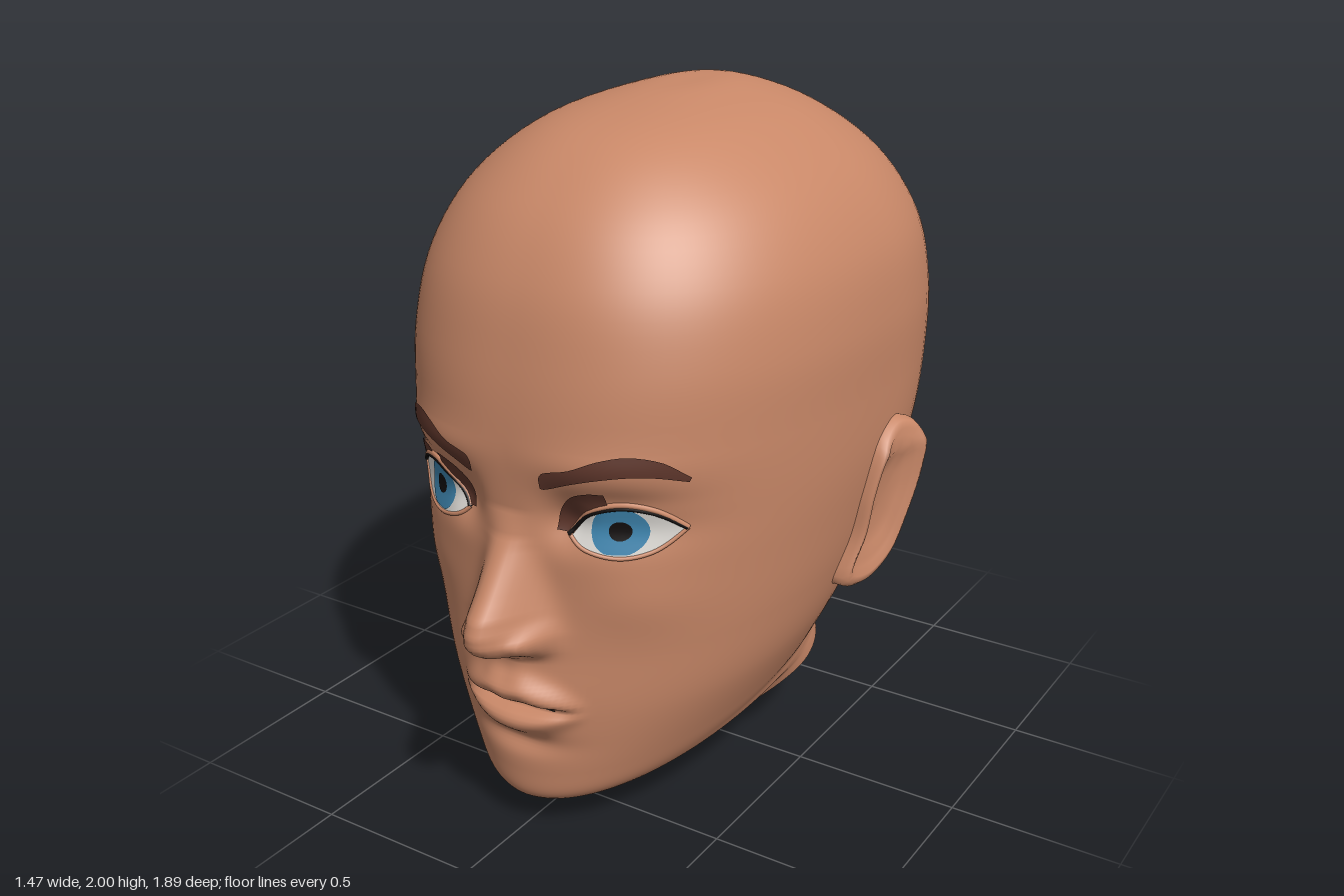
import * as THREE from 'three';

const mat = (name, color, side = THREE.DoubleSide) => {
  const m = new THREE.MeshStandardMaterial({ color, side });
  m.name = name;
  return m;
};

// Smooth grid surface; fn(row, col) returns [x, y, z]
function grid(rows, cols, fn, closed, flip) {
  const pos = [], idx = [], n = closed ? cols : cols + 1;
  for (let j = 0; j <= rows; j++) for (let i = 0; i < n; i++) pos.push(...fn(j, i));
  for (let j = 0; j < rows; j++) for (let i = 0; i < cols; i++) {
    const a = j * n + i, b = j * n + (i + 1) % n, c = a + n, d = b + n;
    if (flip) idx.push(a, b, c, b, d, c);
    else idx.push(a, c, b, b, c, d);
  }
  const g = new THREE.BufferGeometry();
  g.setAttribute('position', new THREE.Float32BufferAttribute(pos, 3));
  g.setIndex(idx);
  g.computeVertexNormals();
  return g;
}

const bump = (d, s) => Math.exp(-((d / s) ** 2));
const clamp = THREE.MathUtils.clamp;

// Head sections: front y, front z, back y, back z, half width, z of widest point, squareness, upward bow
const SECTIONS = [
  [2.0, -0.15, 2.0, -0.15, 0, -0.15, 2.2, 0],
  [1.985, 0.07, 1.997, -0.34, 0.13, -0.15, 2.2, 0],
  [1.92, 0.37, 1.92, -0.56, 0.33, -0.15, 2.3, 0],
  [1.78, 0.57, 1.78, -0.76, 0.51, -0.17, 2.35, 0],
  [1.6, 0.69, 1.6, -0.88, 0.62, -0.2, 2.4, 0],
  [1.4, 0.745, 1.4, -0.942, 0.658, -0.2, 2.45, 0],
  [1.2, 0.77, 1.2, -0.942, 0.658, -0.2, 2.42, 0],
  [1.0, 0.765, 1.02, -0.9, 0.65, -0.17, 2.35, 0],
  [0.8, 0.75, 0.88, -0.83, 0.625, -0.12, 2.3, 0],
  [0.6, 0.75, 0.74, -0.75, 0.59, -0.06, 2.22, 0],
  [0.4, 0.755, 0.6, -0.645, 0.54, -0.01, 2.12, 0],
  [0.2, 0.755, 0.47, -0.595, 0.465, -0.03, 2.0, 0],
  [0.1, 0.73, 0.42, -0.58, 0.43, -0.07, 1.95, 0.01],
  [0.063, 0.62, 0.39, -0.575, 0.42, -0.1, 1.93, 0.02],
  [0.072, 0.47, 0.36, -0.57, 0.415, -0.13, 1.9, 0.03],
  [0.07, 0.3, 0.33, -0.565, 0.412, -0.16, 1.87, 0.05],
  [0, 0.17, 0.28, -0.56, 0.41, -0.19, 1.85, 0.092],
];

// Nose height above the face at each y
const NOSE = [[1, 0], [0.93, 0.025], [0.87, 0.07], [0.78, 0.138], [0.73, 0.178], [0.69, 0.192], [0.655, 0.188],
  [0.625, 0.158], [0.605, 0.115], [0.59, 0.065], [0.57, 0.03], [0.53, 0.012], [0.5, 0]];

function noseHeight(y) {
  for (let i = 1; i < NOSE.length; i++) {
    const [y0, h0] = NOSE[i - 1], [y1, h1] = NOSE[i];
    if (y <= y0 && y >= y1) return h0 + (h1 - h0) * (y0 - y) / (y0 - y1);
  }
  return 0;
}

// Forward relief of the face
function relief(x, y) {
  const a = Math.abs(x);
  const noseWidth = 0.098 - 0.15 * clamp(y - 0.66, 0, 0.24);
  const lip = Math.max(0, 1 - (a / 0.21) ** 2);
  const upperY = 0.42 + 0.058 * lip + 0.008 * bump(a - 0.05, 0.035);
  let d = noseHeight(y) * Math.exp(-((a / noseWidth) ** 2.4));
  d += 0.045 * bump(a - 0.1, 0.03) * bump(y - 0.65, 0.038);                    // nostril wings
  d -= 0.03 * bump(a - 0.05, 0.022) * bump(y - 0.6, 0.012);                    // nostrils
  d -= 0.035 * bump(a - 0.16, 0.06) * bump(y - 0.99, 0.07);                    // inner eye corners
  d -= 0.035 * bump(a - 0.31, 0.16) * bump(y - 0.985, 0.07);                   // eye socket
  d -= 0.012 * bump(a - 0.3, 0.14) * bump(y - 1.06, 0.035);                    // lid crease
  d += 0.012 * bump(a - 0.28, 0.18) * bump(y - 1.15, 0.05);                    // brow
  d += 0.015 * bump(a - 0.36, 0.12) * bump(y - 0.76, 0.1);                     // cheek
  d += 0.02 * bump(a, 0.2) * bump(y - 0.45, 0.13);                             // muzzle
  d += 0.052 * lip * bump(y - upperY, 0.022 + 0.024 * lip);                    // upper lip
  d += 0.036 * lip * bump(y - 0.42 + 0.05 * lip, 0.02 + 0.022 * lip);          // lower lip
  d -= 0.05 * lip * bump(y - 0.42, 0.014);                                     // lip seam
  d -= 0.025 * bump(a, 0.12) * bump(y - 0.3, 0.035);                           // chin groove
  return d;
}

function headGeometry() {
  // Interpolated sections, denser through the face
  const rings = [], last = SECTIONS.length - 1;
  for (let k = 0; k < last; k++) {
    const steps = k >= 6 && k <= 11 ? 20 : 6;
    const key = [-1, 0, 1, 2].map((o) => SECTIONS[clamp(k + o, 0, last)]);
    for (let q = 0; q < steps; q++) {
      const t = q / steps;
      rings.push(key[1].map((b, c) => {
        const a = key[0][c], e = key[2][c], f = key[3][c];
        return b + 0.5 * t * (e - a + t * (2 * a - 5 * b + 4 * e - f + t * (3 * (b - e) + f - a)));
      }));
    }
  }
  rings.push(SECTIONS[last]);
  const cols = 132;
  return grid(rings.length - 1, cols, (j, i) => {
    const [fy, fz, by, bz, w, zc, square, bow] = rings[j];
    const u = (i / cols) * 2 * Math.PI - Math.PI;
    const th = u - 0.55 * Math.sin(u);
    const s = Math.sin(th), c = Math.cos(th);
    const p = c > 0 ? square : Math.min(square, 2.15);
    const r = (Math.abs(s) ** p + Math.abs(c) ** p) ** (-1 / p);
    const x = w * s * r;
    const z = zc + (c > 0 ? fz - zc : zc - bz) * c * r;
    const f = clamp((fz - z) / Math.max(fz - bz, 0.001), 0, 1);
    const y = fy + (by - fy) * f + bow * Math.sin(Math.PI * f ** 0.7);
    return [x, y, c > 0 ? z + relief(x, y) : z];
  }, true, false);
}

// Ear: outline in (z, y), and a bowl profile of (scale, height)
const EAR_OUTLINE = [[-0.02, 0.61], [-0.1, 0.59], [-0.19, 0.65], [-0.245, 0.78], [-0.28, 0.93],
  [-0.275, 1.06], [-0.21, 1.085], [-0.12, 1.03], [-0.075, 0.89], [-0.06, 0.75]];
const EAR_PROFILE = [[0, -0.005], [0.35, -0.005], [0.55, 0.003], [0.68, 0.016], [0.78, 0.018],
  [0.87, 0.032], [0.95, 0.03], [1, 0.015], [1, -0.01], [1.01, -0.05], [1.07, -0.13]];

function earGeometry(side) {
  const cols = 48;
  const edge = new THREE.CatmullRomCurve3(EAR_OUTLINE.map(([z, y]) => new THREE.Vector3(0, y, z)), true);
  return grid(EAR_PROFILE.length - 1, cols, (j, i) => {
    const [k, h] = EAR_PROFILE[j], e = edge.getPoint(i / cols);
    const z = -0.16 + (e.z + 0.16) * k, y = 0.84 + (e.y - 0.84) * k;
    const x = 0.625 + 0.1 * (y - 0.85) + 0.3 * (-0.06 - z) - 0.6 * Math.max(0, y - 1) + h;
    return [side * x, y, z];
  }, true, side < 0);
}

const spline = (pts) => {
  const c = new THREE.SplineCurve(pts.map(([x, y]) => new THREE.Vector2(x, y)));
  return (t) => c.getPoint(t);
};
// Half circle, flattened where the lids cover it
const arc = (cx, cy, r, dir) => (t) => new THREE.Vector2(cx - r * Math.cos(Math.PI * t),
  clamp(cy + dir * r * Math.sin(Math.PI * t), 0.91, 1.034));

export function createModel() {
  const model = new THREE.Group();
  const skin = mat('skin', 0xc98868);
  const brown = mat('brow brown', 0x5e362b);
  const white = mat('eye white', 0xdedbd6);
  const blue = mat('iris blue', 0x3f86b0);
  const black = mat('pupil black', 0x120e0e);
  const add = (name, geometry, material) => {
    const mesh = new THREE.Mesh(geometry, material);
    mesh.name = name;
    model.add(mesh);
    return mesh;
  };

  const head = add('head', headGeometry(), skin);
  head.updateMatrixWorld(true);

  // Depth of the face at (x, y)
  const ray = new THREE.Raycaster();
  const faceZ = (x, y) => {
    ray.set(new THREE.Vector3(x, y, 3), new THREE.Vector3(0, 0, -1));
    const hit = ray.intersectObject(head)[0];
    return hit ? hit.point.z : 0.6;
  };
  // Thin painted plate between two curves, laid on the face
  const plate = (name, upper, lower, material, lift, side, nx = 20, ny = 7) =>
    add(name, grid(ny, nx, (j, i) => {
      const p = lower(i / nx).lerp(upper(i / nx), j / ny);
      return [side * p.x, p.y, faceZ(side * p.x, p.y) + lift];
    }, false, side > 0), material);
  // Thin cord following a curve on the face
  const cord = (name, curve, radius, dy, lift, material, side) => {
    const pts = [];
    for (let i = 0; i <= 12; i++) {
      const p = curve(i / 12), x = side * p.x, y = p.y + dy * Math.sin(Math.PI * i / 12);
      pts.push(new THREE.Vector3(x, y, faceZ(x, y) + lift));
    }
    add(name, new THREE.TubeGeometry(new THREE.CatmullRomCurve3(pts), 28, radius, 8), material);
  };

  const upperLid = spline([[0.165, 0.95], [0.22, 1.012], [0.3, 1.038], [0.38, 1.024], [0.44, 0.98]]);
  const lowerLid = spline([[0.165, 0.95], [0.21, 0.922], [0.3, 0.905], [0.38, 0.925], [0.44, 0.98]]);
  const browTop = spline([[0.112, 1.115], [0.13, 1.135], [0.2, 1.153], [0.27, 1.183], [0.34, 1.196], [0.41, 1.178], [0.46, 1.13]]);
  const browBottom = spline([[0.112, 1.085], [0.13, 1.085], [0.2, 1.112], [0.27, 1.132], [0.34, 1.142], [0.4, 1.137], [0.455, 1.118]]);
  const shadeTop = spline([[0.135, 0.96], [0.145, 1.015], [0.185, 1.065], [0.235, 1.085], [0.275, 1.085]]);
  const shadeBottom = spline([[0.165, 0.955], [0.185, 0.99], [0.215, 1.02], [0.245, 1.038], [0.275, 1.052]]);
  const outerTop = spline([[0.33, 1.085], [0.38, 1.08], [0.42, 1.06], [0.457, 1.01]]);
  const outerBottom = spline([[0.33, 1.06], [0.37, 1.04], [0.41, 1.015], [0.443, 0.985]]);

  for (const side of [1, -1]) {
    const label = side > 0 ? 'left' : 'right';
    add(label + 'Ear', earGeometry(side), skin);

    // Eyes
    const ball = add(label + 'Eyeball', new THREE.SphereGeometry(0.16, 24, 16), white);
    ball.position.set(side * 0.3, 0.975, 0.42);
    plate(label + 'EyeWhite', upperLid, lowerLid, white, 0.004, side, 24, 8);
    plate(label + 'Iris', arc(0.295, 0.973, 0.068, 1), arc(0.295, 0.973, 0.068, -1), blue, 0.006, side);
    plate(label + 'Pupil', arc(0.298, 0.973, 0.027, 1), arc(0.298, 0.973, 0.027, -1), black, 0.008, side, 12, 4);
    cord(label + 'UpperLid', upperLid, 0.008, 0.012, 0.003, skin, side);
    cord(label + 'LowerLid', lowerLid, 0.006, -0.006, 0.002, skin, side);
    cord(label + 'LashLine', upperLid, 0.006, 0.002, 0.007, black, side);

    // Brows and lid shade
    plate(label + 'Eyebrow', browTop, browBottom, brown, 0.006, side, 24, 5);
    plate(label + 'LidShade', shadeTop, shadeBottom, brown, 0.007, side, 14, 5);
  }
  // Extra shade on the right outer lid
  plate('rightOuterLidShade', outerTop, outerBottom, brown, 0.007, -1, 12, 4);

  // Mouth opening
  plate('mouthGap', spline([[-0.13, 0.422], [-0.05, 0.428], [0, 0.424], [0.05, 0.428], [0.13, 0.422]]),
    spline([[-0.13, 0.419], [-0.05, 0.418], [0, 0.416], [0.05, 0.418], [0.13, 0.419]]), black, 0.005, 1, 20, 2);
  return model;
}
